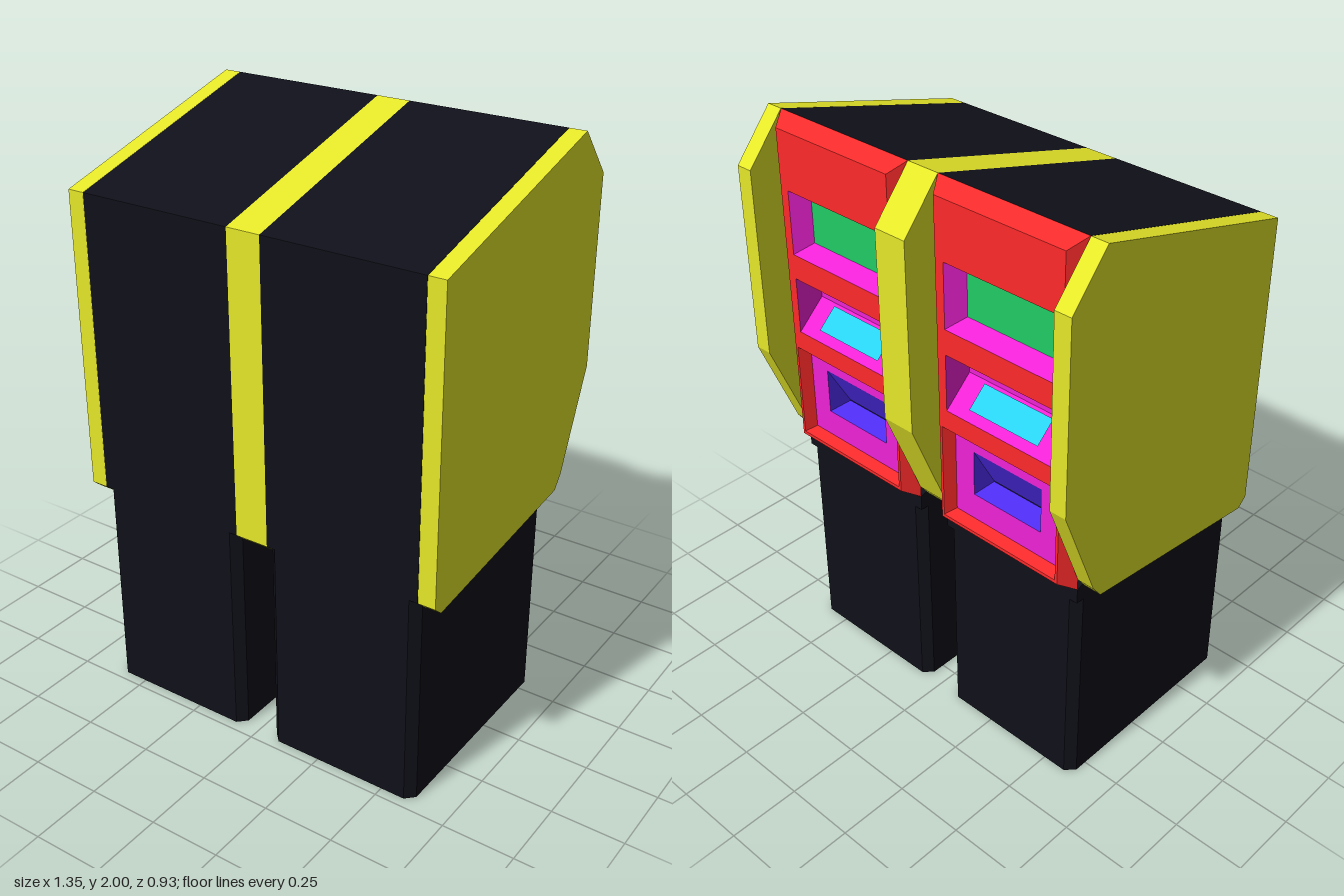
import * as THREE from 'three';

const mat = (color) => new THREE.MeshStandardMaterial({ color, flatShading: true, side: THREE.DoubleSide });
const YELLOW = mat(0xe6e829), BLACK = mat(0x10101a), RED = mat(0xff2a2a), MAGENTA = mat(0xf022d6);
const GREEN = mat(0x22cc66), CYAN = mat(0x2ad2f0), BLUE = mat(0x5530ff);
const BACK = -0.325, FACE = -0.38; // rear of the cabinet and outer face of the fascia

function add(group, name, geometry, material) {
  const mesh = new THREE.Mesh(geometry, material);
  mesh.name = name;
  group.add(mesh);
  return mesh;
}

// Side profile of [z, y] points, extruded to a width centred on x = 0
function profile(points, width) {
  const shape = new THREE.Shape(points.map(([z, y]) => new THREE.Vector2(z, y)));
  const g = new THREE.ExtrudeGeometry(shape, { depth: width, bevelEnabled: false });
  return g.translate(0, 0, -width / 2).rotateY(-Math.PI / 2);
}

// Rectangle loop facing -z; bottom and top edges may sit at different depths
const rect = (hw, y0, y1, z0, z1 = z0) => [[-hw, y0, z0], [-hw, y1, z1], [hw, y1, z1], [hw, y0, z0]];

function quads(list) {
  const g = new THREE.BufferGeometry();
  const p = list.flatMap(([a, b, c, d]) => [...a, ...b, ...c, ...a, ...c, ...d]);
  g.setAttribute('position', new THREE.Float32BufferAttribute(p, 3));
  g.computeVertexNormals();
  return g;
}

// Four walls joining two rectangle loops
const walls = (a, b) => quads(a.map((p, i) => {
  const j = (i + 1) % 4;
  return [p, a[j], b[j], b[i]];
}));

// Flat plate facing -z with rectangular holes given as [halfWidth, y0, y1]
function plate(hw, y0, y1, z, holes) {
  const path = (P, w, a, b) => {
    const s = new P();
    s.moveTo(-w, a); s.lineTo(w, a); s.lineTo(w, b); s.lineTo(-w, b); s.closePath();
    return s;
  };
  const shape = path(THREE.Shape, hw, y0, y1);
  for (const h of holes) shape.holes.push(path(THREE.Path, ...h));
  return new THREE.ShapeGeometry(shape).rotateY(Math.PI).translate(0, 0, z);
}

function makeMachine() {
  const m = new THREE.Group();
  m.name = 'machine';

  // Lower cabinet with chamfered vertical corners
  const w = 0.2775, d = 0.395, c = 0.03;
  const foot = new THREE.Shape([[-w + c, -d], [w - c, -d], [w, -d + c], [w, d - c], [w - c, d],
    [-w + c, d], [-w, d - c], [-w, -d + c]].map(([x, y]) => new THREE.Vector2(x, y)));
  const base = new THREE.ExtrudeGeometry(foot, { depth: 0.755, bevelEnabled: false });
  add(m, 'lowerCabinet', base.rotateX(-Math.PI / 2).translate(0, 0, 0.07), BLACK);

  // Upper cabinet with sloped roof, cut out behind the fascia
  add(m, 'upperCabinet', profile([[0.465, 0.755], [0.465, 1.785], [BACK, 2], [BACK, 1.97],
    [-0.2, 1.92], [-0.2, 0.85], [BACK, 0.81], [BACK, 0.755]], 2 * w), BLACK);

  // Fascia: bevelled rim and face with three openings
  const screen = [0.21, 1.547, 1.767], keys = [0.21, 1.263, 1.46], tray = [0.233, 0.857, 1.195];
  add(m, 'fasciaRim', walls(rect(w, 0.81, 2, BACK), rect(0.2425, 0.845, 1.965, FACE)), RED);
  add(m, 'fasciaFace', plate(0.2425, 0.845, 1.965, FACE, [screen, keys, tray]), RED);

  // Screen in a tapered surround
  const glass = rect(0.175, 1.578, 1.745, FACE + 0.06);
  add(m, 'screenSurround', walls(rect(...screen, FACE), glass), MAGENTA);
  add(m, 'screen', quads([glass]), GREEN);

  // Key recess: sloping floor, upright back, sloping keypad
  const deep = rect(0.21, 1.355, 1.44, FACE + 0.1);
  add(m, 'keypadRecess', walls(rect(...keys, FACE), deep), MAGENTA);
  add(m, 'keypadRecessBack', quads([deep]), MAGENTA);
  add(m, 'keypad', quads([rect(0.137, 1.289, 1.351, FACE + 0.022, FACE + 0.089)]), CYAN);

  // Lower panel, set back, with a wedge-shaped tray
  const z = FACE + 0.04, slot = [0.138, 0.964, 1.125];
  add(m, 'trayPanelRim', walls(rect(...tray, FACE), rect(0.215, 0.87, 1.17, z)), RED);
  add(m, 'trayPanel', plate(0.215, 0.87, 1.17, z, [slot]), MAGENTA);
  add(m, 'tray', walls(rect(...slot, z), rect(0.138, 0.964, 0.966, z + 0.09)), BLUE);
  return m;
}

export function createModel() {
  const model = new THREE.Group();
  model.name = 'twinMachines';

  for (const side of [-1, 1]) {
    const machine = makeMachine();
    machine.position.x = side * 0.3375;
    model.add(machine);
  }

  // Divider panels: two outer and one wide centre
  const outline = [[0.465, 1.785], [BACK, 2], [-0.463, 1.84], [-0.463, 1.19],
    [BACK, 0.85], [-0.29, 0.805], [0.43, 0.725], [0.465, 0.755]];
  for (const [name, x, width] of [['rightPanel', -0.646, 0.06], ['centrePanel', 0, 0.12], ['leftPanel', 0.646, 0.06]]) {
    add(model, name, profile(outline, width), YELLOW).position.x = x;
  }
  return model;
}
